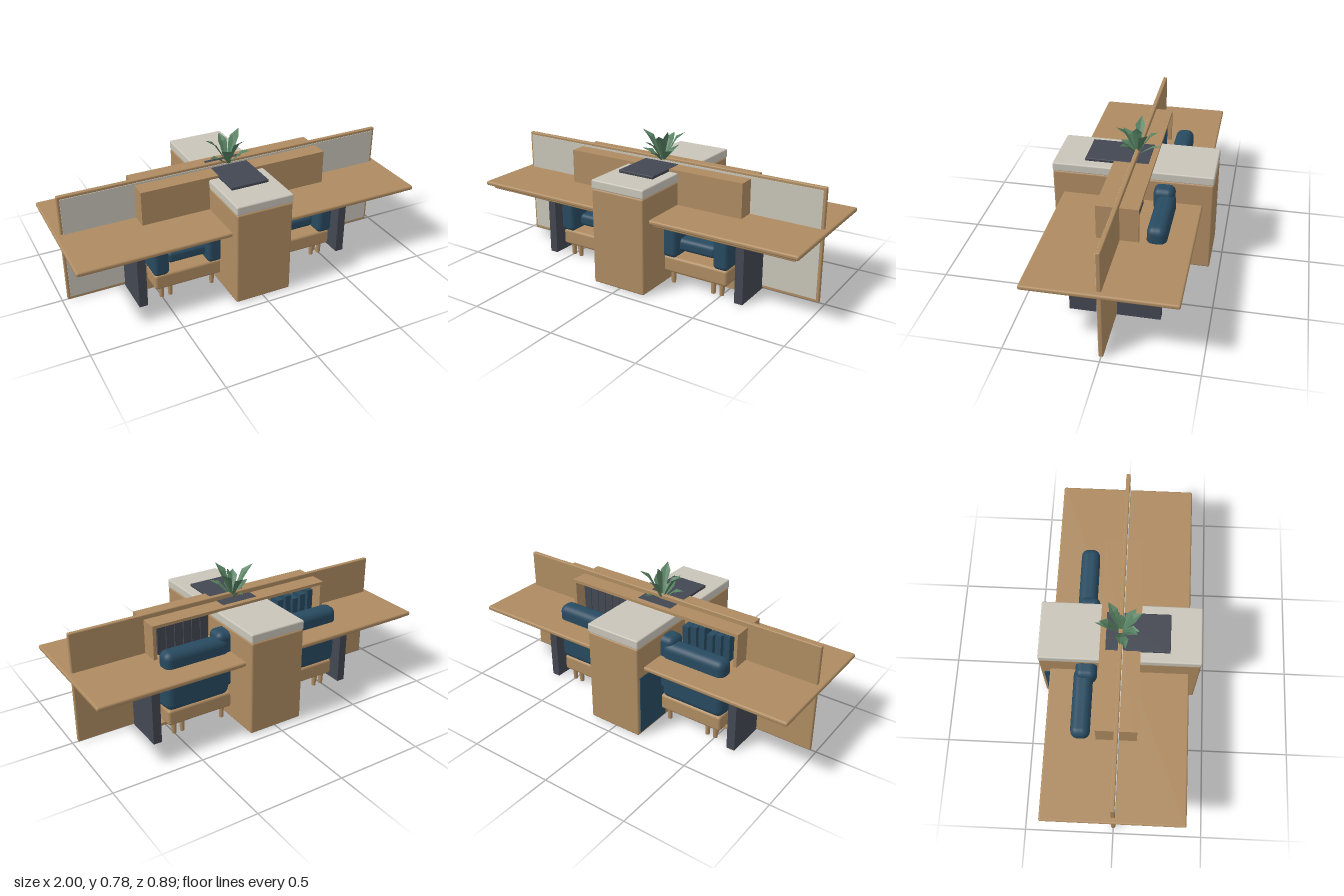
import * as THREE from 'three';
import { RoundedBoxGeometry } from 'three/addons/geometries/RoundedBoxGeometry.js';

const mat = (name, color, extra = {}) => {
  const m = new THREE.MeshStandardMaterial({ color, ...extra });
  m.name = name;
  return m;
};

export function createModel() {
  const root = new THREE.Group();
  root.name = 'sharedWorkstation';
  const wood = mat('oak', 0xae8b61);
  const cream = mat('cream', 0xc8c4b9);
  const slate = mat('slate', 0x434751);
  const blue = mat('blueFabric', 0x284a60);
  const green = mat('leafGreen', 0x557f60, { flatShading: true, side: THREE.DoubleSide });

  const add = (name, geo, material, parent = root) => {
    const m = new THREE.Mesh(geo, material);
    m.name = name;
    parent.add(m);
    return m;
  };
  // box from min and max corners, with optional rounded edges
  const box = (name, material, [x0, x1], [y0, y1], [z0, z1], r = 0, parent = root) => {
    const w = x1 - x0, h = y1 - y0, d = z1 - z0;
    const g = r ? new RoundedBoxGeometry(w, h, d, 3, r) : new THREE.BoxGeometry(w, h, d);
    add(name, g, material, parent).position.set((x0 + x1) / 2, (y0 + y1) / 2, (z0 + z1) / 2);
  };
  // x range mirrored for either side
  const side = (s, a, b) => (s > 0 ? [a, b] : [-b, -a]);

  // table top with a recessed layer below
  box('tableTop', wood, [-1, 1], [0.391, 0.416], [-0.388, 0.388], 0.01);
  box('tableApron', wood, [-0.97, 0.97], [0.368, 0.392], [-0.355, 0.355], 0.008);

  // central divider with pale front panel
  box('divider', wood, [-0.97, 0.97], [0.003, 0.638], [-0.012, 0.012], 0.006);
  box('dividerPanel', cream, [-0.955, 0.955], [0.022, 0.622], [0.011, 0.016]);

  // central pedestal and worktop
  box('pedestal', wood, [-0.163, 0.163], [0.004, 0.546], [-0.443, 0.443], 0.01);
  box('pedestalTop', cream, [-0.165, 0.165], [0.545, 0.596], [-0.444, 0.444], 0.008);
  box('pedestalSidePanel', blue, [-0.167, -0.162], [0.02, 0.366], [-0.425, -0.2]);
  add('floorDisc', new THREE.CylinderGeometry(0.1, 0.1, 0.006, 32), cream).position.y = 0.003;

  // shelf unit: closed at the front, open at the back
  box('shelfFront', wood, [-0.555, 0.555], [0.004, 0.611], [0.098, 0.111]);
  box('shelfTop', wood, [-0.555, 0.555], [0.594, 0.611], [-0.111, 0.098]);
  box('shelfBottom', wood, [-0.555, 0.555], [0.004, 0.02], [-0.111, 0.098]);
  for (const s of [-1, 1]) box('shelfEnd', wood, side(s, 0.535, 0.555), [0.02, 0.594], [-0.111, 0.098]);

  // books on the open shelf
  for (let i = 0; i < 6; i++) {
    const x = 0.2 + i * 0.052, h = 0.54 + (i % 3) * 0.014;
    box('blueBook', blue, [-x - 0.036, -x], [0.416, h], [-0.09, -0.014]);
    box('slateBook', slate, [x, x + 0.048], [0.416, 0.575], [-0.07, -0.014]);
  }

  for (const s of [-1, 1]) {
    // slab legs of the table
    box('tableLeg', slate, side(s, 0.597, 0.645), [0, 0.37], [-0.244, 0.244]);

    // armchair
    const chair = new THREE.Group();
    chair.name = s > 0 ? 'leftArmchair' : 'rightArmchair';
    root.add(chair);
    box('chairBase', wood, side(s, 0.14, 0.545), [0.07, 0.162], [-0.235, 0.235], 0.015, chair);
    box('seatCushion', blue, side(s, 0.15, 0.455), [0.19, 0.262], [-0.17, 0.2], 0.025, chair);
    box('outerArm', blue, side(s, 0.462, 0.552), [0.16, 0.4], [-0.2, 0.248], 0.025, chair);
    box('innerArm', blue, side(s, 0.15, 0.238), [0.16, 0.4], [-0.2, 0.248], 0.025, chair);
    box('backCushion', blue, side(s, 0.17, 0.555), [0.16, 0.5], [-0.25, -0.145], 0.04, chair);
    box('headCushion', blue, side(s, 0.13, 0.238), [0.2, 0.53], [-0.24, -0.125], 0.035, chair);

    // clusters of short pegs under the chair
    for (const z of [-1, 1]) {
      for (const [x, dz] of [[0.5, 0.2], [0.45, 0.2], [0.485, 0.165], [0.2, 0.2]]) {
        const peg = add('chairPeg', new THREE.CylinderGeometry(0.015, 0.012, 0.075, 12), wood, chair);
        peg.position.set(s * x, 0.0375, z * dz);
      }
    }
  }

  // desk pad
  box('deskPad', slate, [-0.11, 0.11], [0.596, 0.613], [-0.08, 0.272], 0.004);

  // plant: folded pointed leaves in rings
  const plant = new THREE.Group();
  plant.name = 'plant';
  plant.position.y = 0.6;
  root.add(plant);
  // cross-sections along the leaf: [outward share, height share, half width share]
  const sections = [[0, 0, 0.12], [0.28, 0.4, 0.55], [0.6, 0.78, 1], [1, 1, 0.02]];
  const leaf = (angle, reach, height, width) => {
    const pos = [], idx = [];
    sections.forEach(([o, h, w], i) => {
      for (const k of [-1, 0, 1]) {
        pos.push(k * w * width, h * height + Math.abs(k) * w * width * 0.4, o * reach);
      }
      if (i) for (const k of [0, 1]) {
        const a = (i - 1) * 3 + k;
        idx.push(a, a + 1, a + 3, a + 1, a + 4, a + 3);
      }
    });
    const g = new THREE.BufferGeometry();
    g.setAttribute('position', new THREE.Float32BufferAttribute(pos, 3));
    g.setIndex(idx);
    g.computeVertexNormals();
    add('leaf', g, green, plant).rotation.y = angle;
  };
  const tips = [
    [-0.135, 0.175, 0.0], [0.1, 0.175, -0.07], [0.04, 0.18, 0.11], [0.0, 0.15, -0.115], [-0.06, 0.13, 0.09],
    [0.1, 0.1, 0.08], [-0.12, 0.075, 0.03], [0.02, 0.075, -0.14], [-0.02, 0.075, 0.1], [0.03, 0.18, 0.0],
  ];
  tips.forEach(([x, h, z], i) => leaf(Math.atan2(x, z), Math.hypot(x, z), h, i === 7 ? 0.014 : 0.027));

  return root;
}
